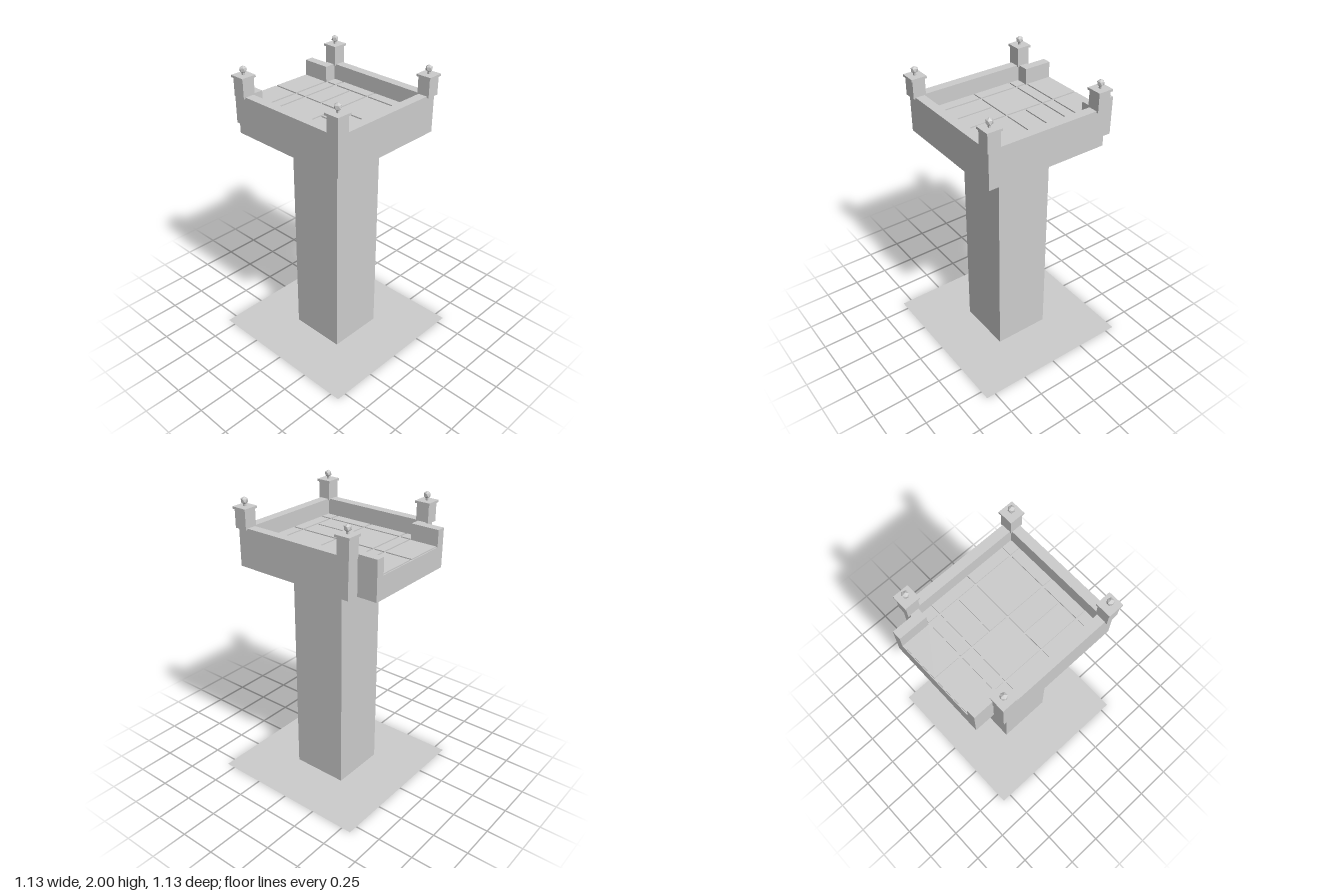
import * as THREE from 'three';

export function createModel() {
  const group = new THREE.Group();
  group.name = 'watchtower';
  const stone = new THREE.MeshStandardMaterial({ color: 0xcccccc });
  stone.name = 'pale grey stone';
  const ground = new THREE.MeshStandardMaterial({ color: 0xcccccc, side: THREE.DoubleSide });
  ground.name = 'grey ground';

  function add(name, geometry, x, y, z, parent = group, material = stone) {
    const mesh = new THREE.Mesh(geometry, material);
    mesh.name = name;
    mesh.position.set(x, y, z);
    parent.add(mesh);
    return mesh;
  }

  // Box given by its footprint centre and bottom/top heights
  function block(name, w, d, y0, y1, x = 0, z = 0, parent = group) {
    return add(name, new THREE.BoxGeometry(w, y1 - y0, d), x, (y0 + y1) / 2, z, parent);
  }

  // Plan outline raised between two heights
  function raise(name, points, y0, y1) {
    const shape = new THREE.Shape(points.map(([x, z]) => new THREE.Vector2(x, z)));
    const geometry = new THREE.ExtrudeGeometry(shape, { depth: y1 - y0, bevelEnabled: false });
    geometry.rotateX(-Math.PI / 2);
    return add(name, geometry, 0, y0, 0);
  }

  // Ground sheet and column
  const sheet = new THREE.PlaneGeometry(1.134, 1.134).rotateX(-Math.PI / 2);
  add('groundSheet', sheet, 0, 0, 0, group, ground);
  block('column', 0.395, 0.395, 0, 1.55);

  // Platform slab with its side landing, and the parapet open on the landing side
  const bottom = 1.55, floor = 1.7, top = 1.812;
  const mirror = (points) => points.map(([x, z]) => [x, -z]);
  const outer = [[-0.568, 0.345], [-0.43, 0.345], [-0.43, 0.43], [0.43, 0.43]];
  const inner = [[-0.568, 0.284], [-0.37, 0.284], [-0.37, 0.366], [0.366, 0.366]];
  const outerLoop = [...outer, ...mirror(outer).reverse()];
  raise('platformSlab', outerLoop, bottom, floor);
  raise('parapet', [...outerLoop, ...mirror(inner), ...[...inner].reverse()], floor, top);

  // Paving tiles separated by narrow grooves
  const paving = new THREE.Group();
  paving.name = 'paving';
  group.add(paving);
  const columns = [[-0.562, -0.377], [-0.362, -0.292], [-0.277, -0.006], [0.006, 0.277], [0.291, 0.362]];
  const rows = [[-0.362, -0.291], [-0.277, -0.008], [0.006, 0.275], [0.289, 0.36]];
  const tile = ([x0, x1], [z0, z1]) =>
    block('floorTile', x1 - x0, z1 - z0, floor, floor + 0.008, (x0 + x1) / 2, (z0 + z1) / 2, paving);
  columns.forEach((cx, i) => rows.forEach((rz, j) => {
    if (i === 0 && (j === 0 || j === 3)) return;
    if (i === 2 && j === 1) {
      tile([cx[0], -0.149], rz);
      tile([-0.135, cx[1]], rz);
    } else if (i === 3 && j === 2) {
      tile(cx, [rz[0], 0.134]);
      tile(cx, [0.146, rz[1]]);
    } else tile(cx, rz);
  }));

  // Corner posts with cap, stem and faceted ball
  const ball = new THREE.IcosahedronGeometry(0.025, 0).rotateZ(Math.atan(2 / (1 + Math.sqrt(5))));
  for (const x of [-0.4, 0.4]) {
    for (const z of [-0.4, 0.4]) {
      const post = new THREE.Group();
      post.name = 'cornerPost';
      post.position.set(x, 0, z);
      group.add(post);
      block('postBody', 0.088, 0.088, 1.803, 1.927, 0, 0, post);
      block('postCap', 0.106, 0.106, 1.925, 1.94, 0, 0, post);
      block('ballStem', 0.014, 0.014, 1.94, 1.965, 0, 0, post);
      add('ball', ball, 0, 1.975, 0, post);
    }
  }
  return group;
}
